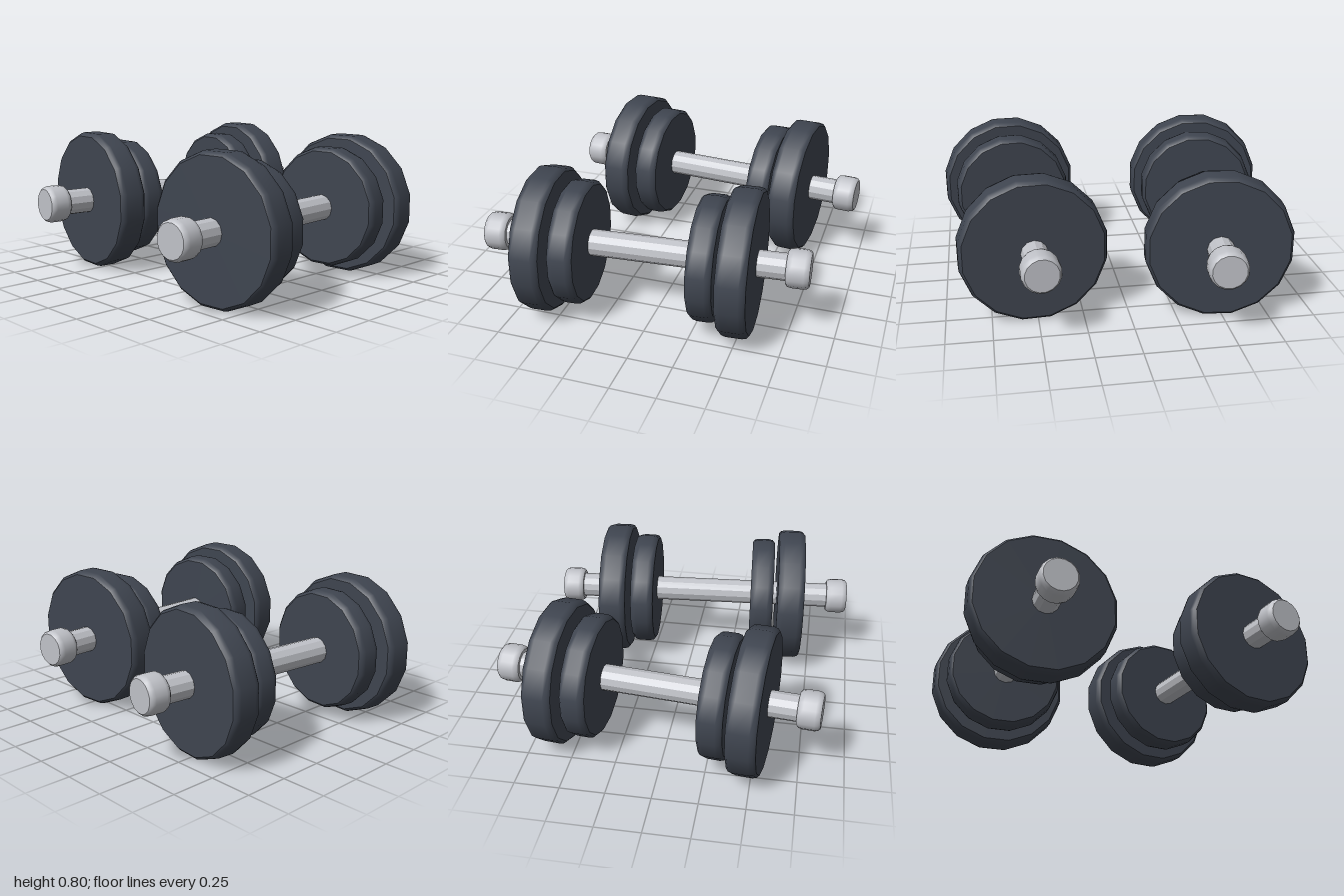
import * as THREE from 'three';

const iron = new THREE.MeshStandardMaterial({ color: 0x3f4550 });
iron.name = 'darkIron';
const steel = new THREE.MeshStandardMaterial({ color: 0xc0c2c8 });
steel.name = 'steel';
// same steel colour, faceted for the bar
const barSteel = steel.clone();
barSteel.name = 'facetedSteel';
barSteel.flatShading = true;

const SIDES = 16;

// Disc along x with a softly rounded rim; the doubled points keep the flat faces crisp
function roundedDisc(radius, width, inset, round) {
  const h = width / 2;
  const half = [
    [0, h],
    [radius - inset, h], [radius - inset, h],
    [radius - inset * 0.3, h - round * 0.35],
    [radius, h - round],
  ];
  const lower = half.map(([r, y]) => new THREE.Vector2(r, -y));
  const upper = half.map(([r, y]) => new THREE.Vector2(r, y)).reverse();
  const geo = new THREE.LatheGeometry([...lower, ...upper], SIDES, Math.PI / SIDES);
  return geo.rotateX(Math.PI / 2).rotateY(Math.PI / 2);
}

const apothem = (a) => a / Math.cos(Math.PI / SIDES);
const bigPlate = roundedDisc(apothem(0.399), 0.16, 0.02, 0.035);
const smallPlate = roundedDisc(apothem(0.339), 0.138, 0.02, 0.035);
const endCap = roundedDisc(apothem(0.105), 0.126, 0.016, 0.03);
const barShape = new THREE.CylinderGeometry(0.074, 0.074, 1.64, 12).rotateZ(Math.PI / 2);

function part(geometry, material, name, x = 0) {
  const mesh = new THREE.Mesh(geometry, material);
  mesh.name = name;
  mesh.position.x = x;
  return mesh;
}

function dumbbell(name) {
  const g = new THREE.Group();
  g.name = name;
  g.add(part(barShape, barSteel, 'bar'));
  for (const [side, label] of [[1, 'left'], [-1, 'right']]) {
    g.add(part(smallPlate, iron, label + 'SmallPlate', side * 0.37));
    g.add(part(bigPlate, iron, label + 'BigPlate', side * 0.545));
    g.add(part(endCap, steel, label + 'EndCap', side * 0.843));
  }
  return g;
}

export function createModel() {
  const model = new THREE.Group();
  model.name = 'dumbbellPair';
  // two dumbbells lying side by side, each turned slightly
  const front = dumbbell('frontDumbbell');
  front.position.set(-0.057, 0.403, 0.553);
  front.rotation.y = 0.069;
  const back = dumbbell('backDumbbell');
  back.position.set(0.05, 0.403, -0.54);
  back.rotation.y = -0.103;
  model.add(front, back);
  return model;
}
